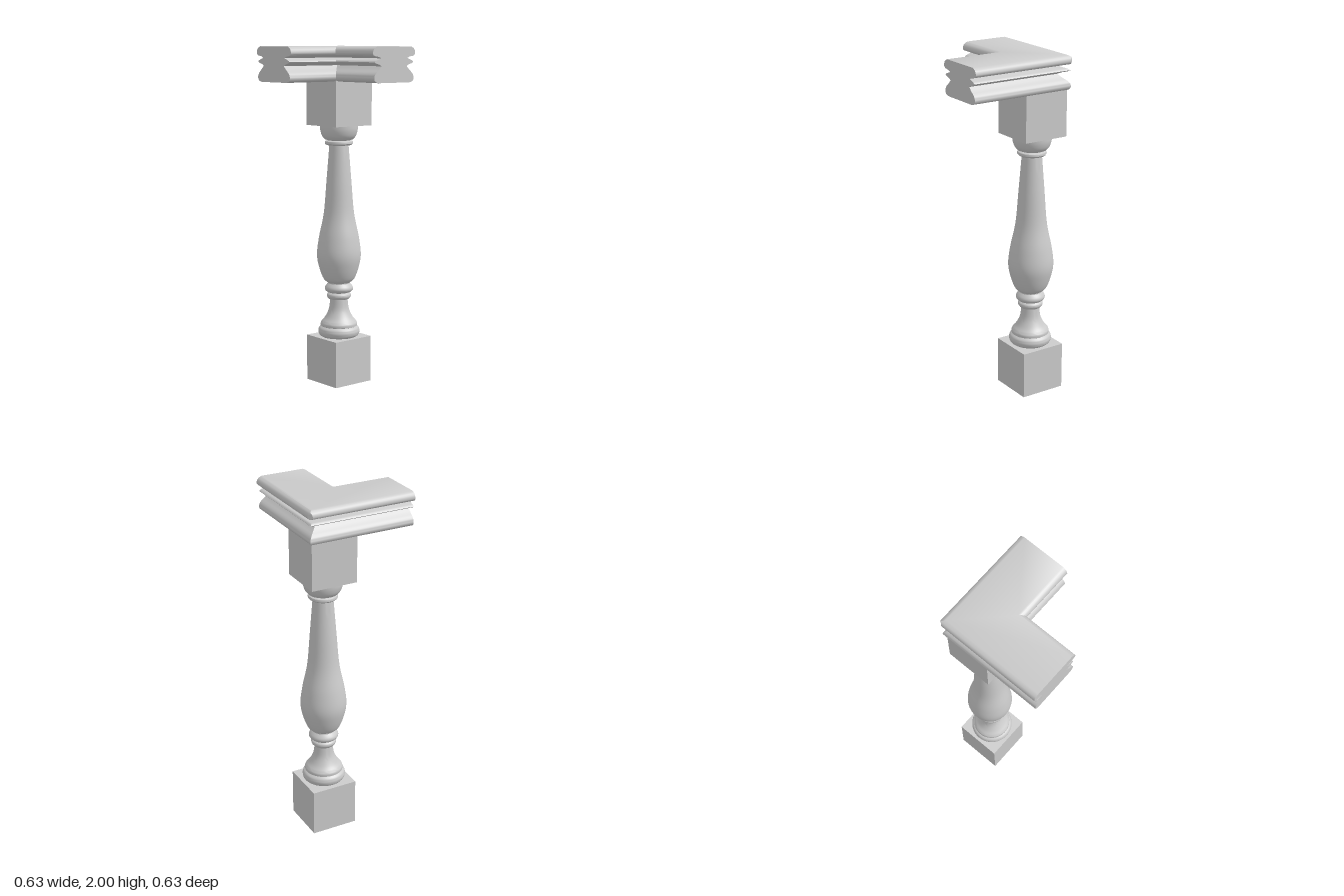
import * as THREE from 'three';
import { toCreasedNormals } from 'three/addons/utils/BufferGeometryUtils.js';

const C = 0.156; // post axis sits at (C, -C)
const BLOCK = 0.272;

const material = () => new THREE.MeshStandardMaterial({ color: 0xcccccc, side: THREE.DoubleSide });

function addMesh(group, name, geometry) {
  const mesh = new THREE.Mesh(geometry, material());
  mesh.name = name;
  group.add(mesh);
  return mesh;
}

// Smooth curve through [radius, height] points
function smooth(points, n) {
  return new THREE.SplineCurve(points.map(([r, y]) => new THREE.Vector2(r, y))).getPoints(n);
}

function turnedPost() {
  const profile = [
    // base torus
    ...smooth([[0.1, 0.272], [0.118, 0.285], [0.124, 0.306], [0.119, 0.326], [0.106, 0.338]], 12),
    // flared foot and neck
    ...smooth([[0.109, 0.34], [0.107, 0.36], [0.082, 0.392], [0.06, 0.44], [0.052, 0.502]], 16),
    // small and large neck rings
    ...smooth([[0.062, 0.503], [0.071, 0.515], [0.071, 0.53], [0.058, 0.541]], 8),
    ...smooth([[0.07, 0.545], [0.083, 0.557], [0.083, 0.575], [0.066, 0.597]], 8),
    // vase-shaped shaft
    ...smooth([[0.066, 0.602], [0.092, 0.625], [0.117, 0.69], [0.131, 0.77], [0.119, 0.875],
      [0.09, 1.02], [0.074, 1.21], [0.057, 1.422]], 40),
    // collar and echinus
    ...smooth([[0.074, 1.424], [0.083, 1.433], [0.081, 1.446], [0.068, 1.452]], 6),
    ...smooth([[0.084, 1.458], [0.1, 1.478], [0.11, 1.51], [0.112, 1.541]], 10),
  ];
  return toCreasedNormals(new THREE.LatheGeometry(profile, 40), 0.6);
}

// Half of the rail section, bottom to top: [distance from the centre line, height]
function railSection() {
  const half = [
    ...smooth([[0.112, 1.8], [0.138, 1.807], [0.148, 1.827], [0.138, 1.85], [0.113, 1.872], [0.093, 1.892]], 14),
    ...smooth([[0.11, 1.901], [0.139, 1.91], [0.139, 1.92], [0.097, 1.936]], 8),
    ...smooth([[0.115, 1.944], [0.148, 1.95], [0.158, 1.965], [0.15, 1.987], [0.128, 2]], 10),
  ];
  const right = half.map((p) => new THREE.Vector2(0.159 + p.x, p.y));
  const left = half.map((p) => new THREE.Vector2(0.159 - p.x, p.y)).reverse();
  return [...right, ...left]; // counter-clockwise
}

// Section swept around an L, its sharp outer corner cut off
function cornerRail() {
  const section = railSection(), n = section.length;
  const end = 0.318, cut = 0.613;
  const rings = [
    (x) => [x, end],
    (x) => [x, -Math.min(x, cut - x)],
    (x) => [Math.min(x, cut - x), -x],
    (x) => [-end, -x],
  ];
  const pos = [], index = [];
  const addRing = (ring) => section.forEach((p) => {
    const [x, z] = ring(p.x);
    pos.push(x, p.y, z);
  });
  rings.forEach(addRing);
  for (let r = 0; r < 3; r++) {
    for (let i = 0; i < n; i++) {
      const j = (i + 1) % n, a = r * n, b = a + n;
      index.push(a + i, b + i, b + j, a + i, b + j, a + j);
    }
  }
  // end caps
  for (const [a, b, c] of THREE.ShapeUtils.triangulateShape(section, [])) {
    index.push(a, b, c, 3 * n + a, 3 * n + c, 3 * n + b);
  }
  const geometry = new THREE.BufferGeometry();
  geometry.setAttribute('position', new THREE.Float32BufferAttribute(pos, 3));
  geometry.setIndex(index);
  return toCreasedNormals(geometry, 0.65);
}

// Square block; an open one has no underside
function block(height, open) {
  const geometry = new THREE.BoxGeometry(BLOCK, height, BLOCK);
  if (open) {
    const kept = Array.from(geometry.index.array).filter((_, i) => i < 18 || i >= 24);
    geometry.setIndex(kept);
    geometry.clearGroups();
  }
  return geometry;
}

export function createModel() {
  const model = new THREE.Group();
  model.name = 'cornerBaluster';

  addMesh(model, 'baseBlock', block(0.275, true)).position.set(C, 0.1375, -C);
  addMesh(model, 'topBlock', block(0.27, false)).position.set(C, 1.675, -C);
  addMesh(model, 'turnedPost', turnedPost()).position.set(C, 0, -C);
  addMesh(model, 'cornerRail', cornerRail());

  return model;
}
